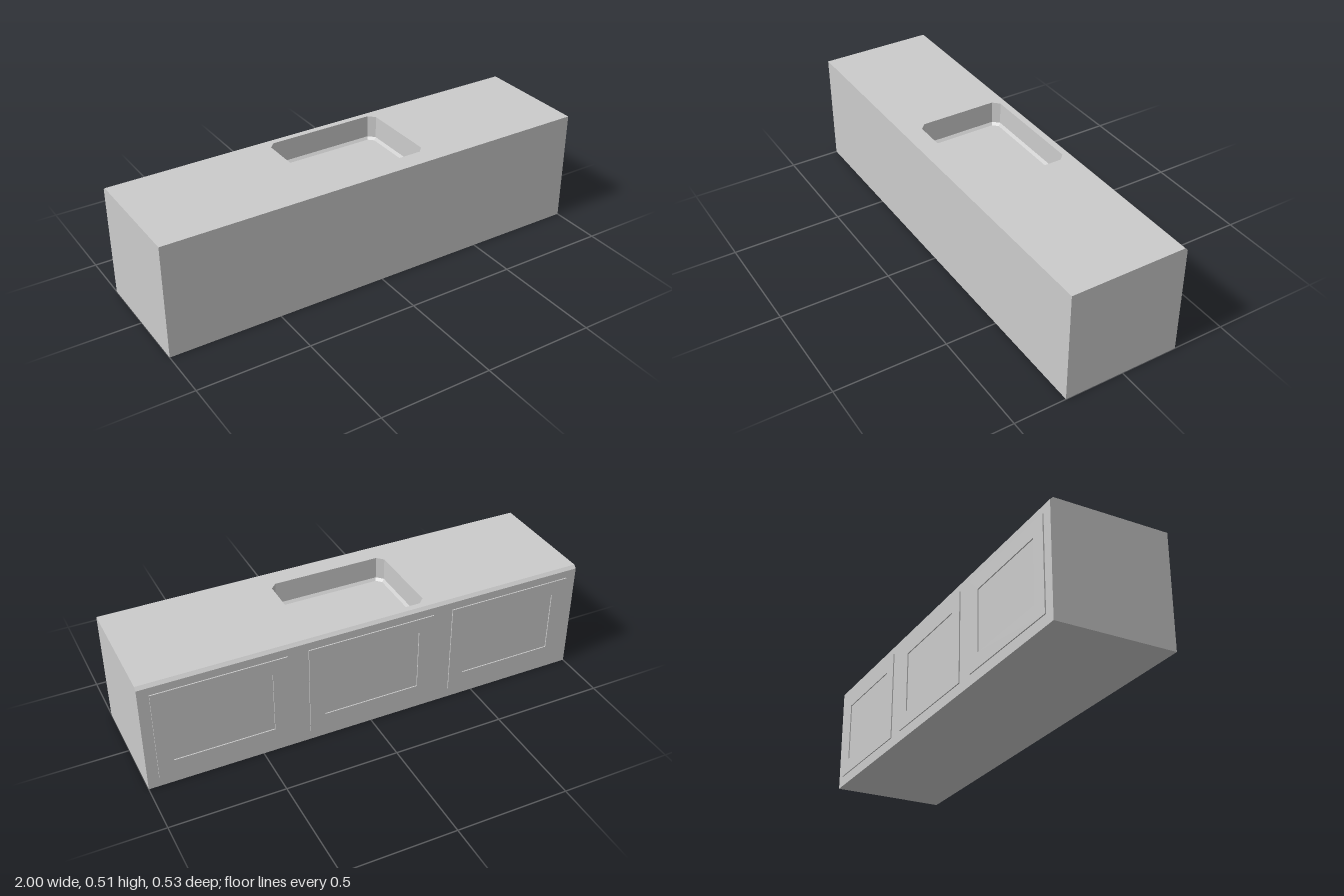
import * as THREE from 'three';

const W = 1, H = 0.512, FRONT = 0.267, BACK = -0.262, BEVEL = 0.013;
const material = new THREE.MeshStandardMaterial({ color: 0xcccccc, flatShading: true });

// Flat-faced band between two matching lists of points
function loft(a, b, closed) {
  const pos = [];
  const n = closed ? a.length : a.length - 1;
  for (let i = 0; i < n; i++) {
    const j = (i + 1) % a.length;
    for (const p of [a[i], a[j], b[j], a[i], b[j], b[i]]) pos.push(...p);
  }
  const g = new THREE.BufferGeometry();
  g.setAttribute('position', new THREE.Float32BufferAttribute(pos, 3));
  g.computeVertexNormals();
  return g;
}

const shapeOf = (pts) => new THREE.Shape(pts.map(([x, y]) => new THREE.Vector2(x, y)));

const rect = (x0, y0, x1, y1) => [[x0, y0], [x1, y0], [x1, y1], [x0, y1]];

// Basin outline with cut corners, counter-clockwise in (x, -z)
function basinOutline(inset) {
  const x = 0.269 - inset, y0 = -0.179 + inset, y1 = 0.221 - inset, c = 0.027 - inset * 0.5;
  return [[x - c, y0], [x, y0 + c], [x, y1 - c], [x - c, y1],
    [-x + c, y1], [-x, y1 - c], [-x, y0 + c], [-x + c, y0]];
}

export function createModel() {
  const model = new THREE.Group();
  const add = (name, geometry, parent = model) => {
    const mesh = new THREE.Mesh(geometry, material);
    mesh.name = name;
    parent.add(mesh);
    return mesh;
  };

  // Cabinet: side profile (z, y) carried along x, open at the top
  const profile = [[FRONT, H], [FRONT, 0], [BACK, 0], [BACK, H - BEVEL], [BACK + BEVEL, H]];
  const along = (x) => profile.map(([z, y]) => [x, y, z]);
  add('cabinetShell', loft(along(-W), along(W), false));
  for (const s of [1, -1]) {
    const end = new THREE.ShapeGeometry(shapeOf(profile.map(([z, y]) => [-s * z, y])));
    end.rotateY(s * Math.PI / 2).translate(s * W, 0, 0);
    add(s > 0 ? 'leftEnd' : 'rightEnd', end);
  }

  // Countertop with the basin opening
  const top = shapeOf(rect(-W, -FRONT, W, -BACK - BEVEL));
  top.holes.push(shapeOf(basinOutline(0)));
  add('countertop', new THREE.ShapeGeometry(top).rotateX(-Math.PI / 2).translate(0, H, 0));

  // Sink basin: upright walls, a sloped lower edge and a flat floor
  const basin = new THREE.Group();
  basin.name = 'basin';
  model.add(basin);
  const floorY = 0.4, inset = 0.011;
  const ring = (d, y) => basinOutline(d).map(([x, v]) => [x, y, -v]);
  add('basinWalls', loft(ring(0, H), ring(0, floorY + 0.011), true), basin);
  add('basinLowerEdge', loft(ring(0, floorY + 0.011), ring(inset, floorY), true), basin);
  add('basinFloor', new THREE.ShapeGeometry(shapeOf(basinOutline(inset)))
    .rotateX(-Math.PI / 2).translate(0, floorY, 0), basin);

  // Three raised door frames on the back, each around a sunken panel
  const hw = 0.287, y0 = 0.047, y1 = 0.464, m = 0.068;
  const frame = shapeOf(rect(-hw, y0, hw, y1));
  frame.holes.push(shapeOf(rect(-hw + m, y0 + m, hw - m, y1 - m)));
  const frameGeometry = new THREE.ExtrudeGeometry(frame, { depth: 0.005, bevelEnabled: false });
  for (const i of [-1, 0, 1]) {
    add('doorFrame', frameGeometry).position.set(i * 0.665, 0, BACK - 0.005);
  }
  return model;
}
